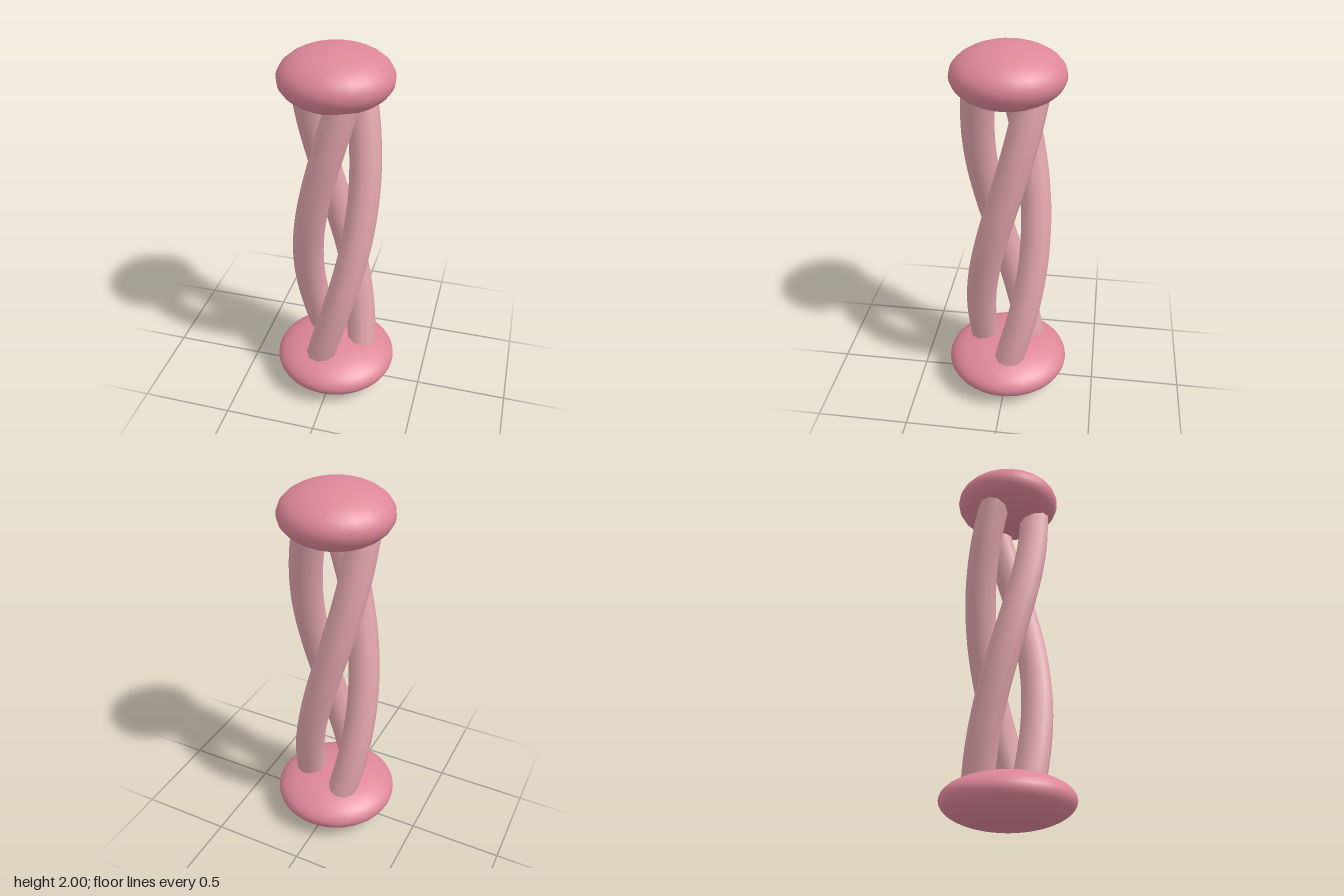
import * as THREE from 'three';

const HELIX_RADIUS = 0.149;
const STRAND_RADIUS = 0.083;

// Rising helix; turns 108 degrees per unit of height
class HelixCurve extends THREE.Curve {
  constructor(phase, y0, y1) {
    super();
    Object.assign(this, { phase, y0, y1 });
  }
  getPoint(t, target = new THREE.Vector3()) {
    const y = THREE.MathUtils.lerp(this.y0, this.y1, t);
    const a = this.phase + THREE.MathUtils.degToRad(108) * y;
    return target.set(HELIX_RADIUS * Math.sin(a), y, HELIX_RADIUS * Math.cos(a));
  }
}

export function createModel() {
  const group = new THREE.Group();
  const capPink = new THREE.MeshStandardMaterial({ color: 0xde8799 });
  capPink.name = 'capPink';
  const strandPink = new THREE.MeshStandardMaterial({ color: 0xe0a4ab });
  strandPink.name = 'strandPink';

  // Flattened spheres at both ends
  const addCap = (name, radius, halfHeight, y, sides) => {
    const geometry = new THREE.SphereGeometry(1, sides, 24);
    geometry.scale(radius, halfHeight, radius);
    const cap = new THREE.Mesh(geometry, capPink);
    cap.name = name;
    cap.position.y = y;
    group.add(cap);
  };
  addCap('baseCap', 0.337, 0.135, 0.135, 64);
  addCap('topCap', 0.283, 0.15, 1.85, 24);

  // Three twisted strands, their ends sunk into the caps
  for (let i = 0; i < 3; i++) {
    const phase = THREE.MathUtils.degToRad(-165 + i * 120);
    const curve = new HelixCurve(phase, 0.15, 1.84);
    const strand = new THREE.Mesh(
      new THREE.TubeGeometry(curve, 40, STRAND_RADIUS, 10, false), strandPink);
    strand.name = `strand${i + 1}`;
    group.add(strand);
  }
  return group;
}
